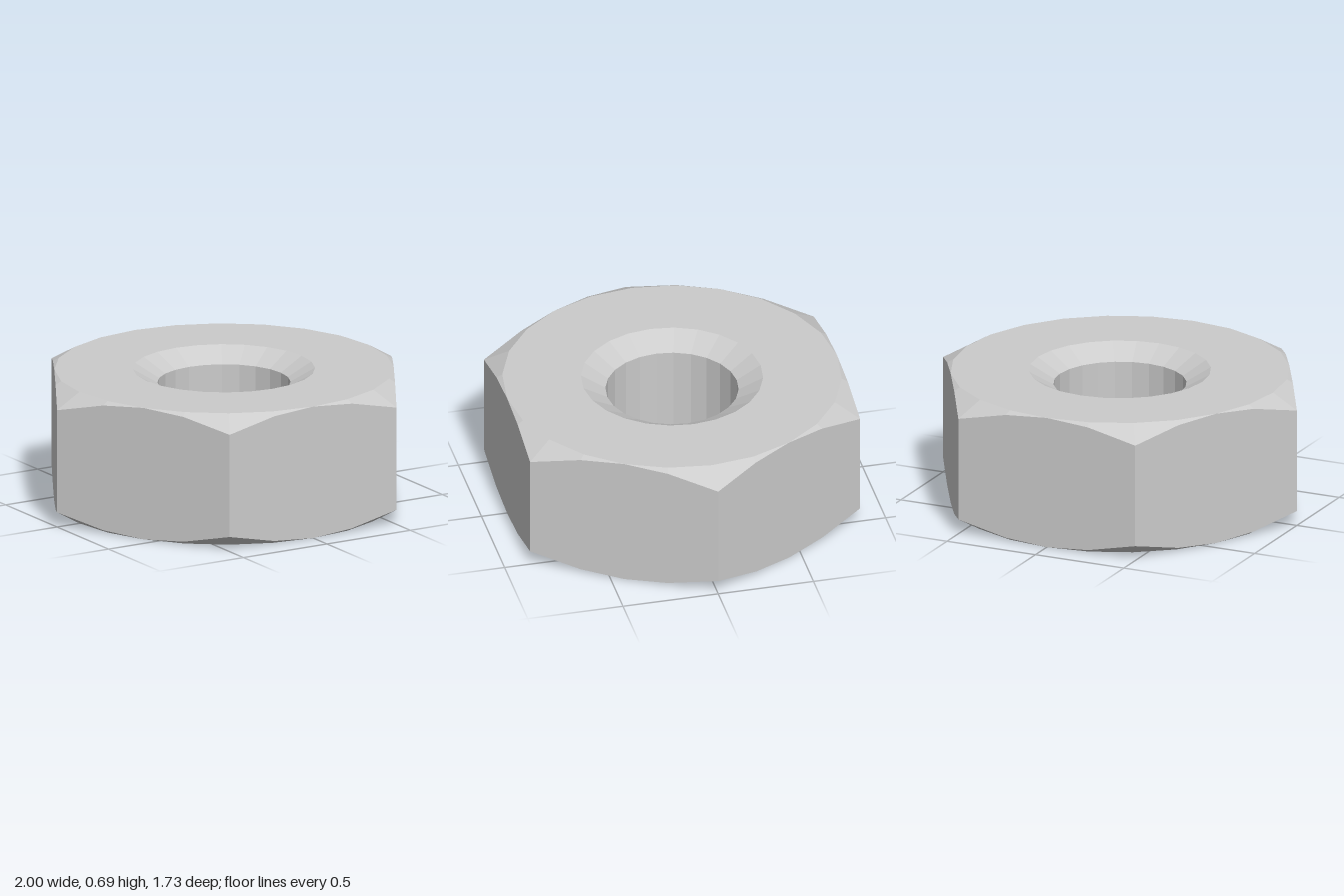
import * as THREE from 'three';

const SIDES = 24;               // facets around the axis
const H = 0.695;                // thickness
const FLAT = Math.sqrt(3) / 2;  // centre to flat, corners at radius 1
const SLOPE = Math.tan(Math.PI / 6);
const BORE = 0.34, SINK = 0.465;

// Distance from the axis to the hexagon outline at an angle
function hexRadius(a) {
  const sixth = Math.PI / 3;
  return FLAT / Math.cos((a % sixth) - sixth / 2);
}

// Cross-section through the axis at angle a: [radius, height], going around the solid
function section(a) {
  const r = hexRadius(a);
  const drop = (r - FLAT) * SLOPE;
  const sinkDepth = (SINK - BORE) * SLOPE;
  return [
    [SINK, 0], [FLAT, 0],            // bottom face
    [r, drop], [r, H - drop],        // chamfered hexagon wall
    [FLAT, H], [SINK, H],            // top face
    [BORE, H - sinkDepth], [BORE, sinkDepth], // countersunk bore
  ].map(([rad, y]) => new THREE.Vector3(rad * Math.cos(a), y, rad * Math.sin(a)));
}

// Joins the sections with flat facets, skipping those of no area
function nutGeometry() {
  const sections = Array.from({ length: SIDES }, (_, i) => section((i / SIDES) * Math.PI * 2));
  const points = [];
  const addFace = (a, b, c) => {
    if (new THREE.Triangle(a, b, c).getArea() > 1e-6) points.push(a, b, c);
  };
  sections.forEach((s, i) => {
    const t = sections[(i + 1) % SIDES];
    s.forEach((p, j) => {
      const k = (j + 1) % s.length;
      addFace(p, s[k], t[k]);
      addFace(p, t[k], t[j]);
    });
  });
  const geometry = new THREE.BufferGeometry().setFromPoints(points);
  geometry.computeVertexNormals();
  return geometry;
}

export function createModel() {
  const group = new THREE.Group();
  group.name = 'hexNut';
  const material = new THREE.MeshStandardMaterial({ color: 0xcccccc, flatShading: true });
  const nut = new THREE.Mesh(nutGeometry(), material);
  nut.name = 'nutBody';
  group.add(nut);
  return group;
}
